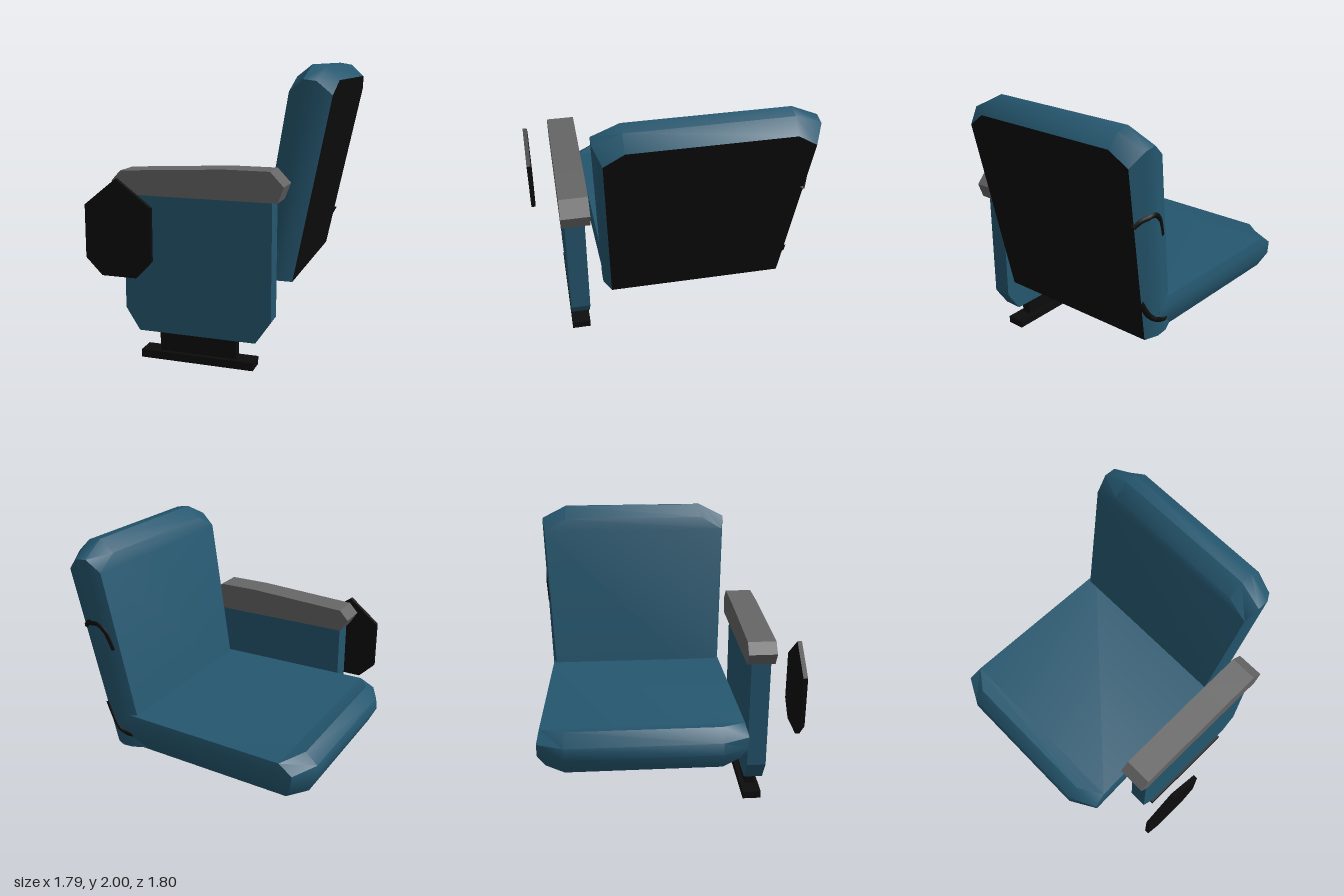
import * as THREE from 'three';
import { toCreasedNormals } from 'three/addons/utils/BufferGeometryUtils.js';

export function createModel() {
  const model = new THREE.Group();
  const paint = (name, color) => {
    const m = new THREE.MeshStandardMaterial({ color });
    m.name = name;
    return m;
  };
  const blue = paint('blue upholstery', 0x25576f);
  const grey = paint('grey armrest', 0x666666);
  const black = paint('black', 0x0c0c0c);

  const add = (name, geometry, material) => {
    const mesh = new THREE.Mesh(geometry, material);
    mesh.name = name;
    model.add(mesh);
    return mesh;
  };

  // Side plate cut from an x/y outline, between two z positions
  const plate = (name, outline, z0, z1, material) => {
    const shape = new THREE.Shape(outline.map(([x, y]) => new THREE.Vector2(x, y)));
    const g = new THREE.ExtrudeGeometry(shape, { depth: z1 - z0, bevelEnabled: false });
    g.translate(0, 0, z0);
    return add(name, g, material);
  };

  const box = (name, [x0, x1], [y0, y1], [z0, z1], material) => {
    const g = new THREE.BoxGeometry(x1 - x0, y1 - y0, z1 - z0);
    g.translate((x0 + x1) / 2, (y0 + y1) / 2, (z0 + z1) / 2);
    return add(name, g, material);
  };

  // Cushion: each half section is three [x, y, half width] points
  // (plain end, chamfer start, chamfered end), mirrored about the seat's centre
  const centreZ = -0.2;
  const ring = (half) => [
    ...half.map(([x, y, w]) => new THREE.Vector3(x, y, centreZ + w)),
    ...half.slice().reverse().map(([x, y, w]) => new THREE.Vector3(x, y, centreZ - w)),
  ];
  const cushion = (name, rings, firstMaterial, lastMaterial) => {
    const pos = [];
    const quad = (...q) => [0, 1, 2, 0, 2, 3].forEach((k) => pos.push(...q[k].toArray()));
    const cap = (r) => {
      quad(r[0], r[1], r[4], r[5]);
      quad(r[1], r[2], r[3], r[4]);
    };
    cap(rings[0]);
    const last = rings[rings.length - 1];
    quad(last[5], last[4], last[1], last[0]);
    quad(last[4], last[3], last[2], last[1]);
    for (let i = 0; i < rings.length - 1; i++) {
      for (let j = 0; j < 6; j++) {
        const k = (j + 1) % 6;
        quad(rings[i][j], rings[i + 1][j], rings[i + 1][k], rings[i][k]);
      }
    }
    const g = new THREE.BufferGeometry();
    g.setAttribute('position', new THREE.Float32BufferAttribute(pos, 3));
    g.addGroup(0, 12, 0);
    g.addGroup(12, 12, 1);
    g.addGroup(24, pos.length / 3 - 24, 2);
    add(name, toCreasedNormals(g, 0.75), [firstMaterial, lastMaterial, blue]);
  };

  // Seat, from the black underside up
  cushion('seatCushion', [
    ring([[0.56, 0.56, 0.6], [-0.74, 0.56, 0.65], [-0.84, 0.56, 0.52]]),
    ring([[0.54, 0.66, 0.65], [-0.79, 0.66, 0.7], [-0.9, 0.68, 0.52]]),
    ring([[0.54, 0.75, 0.66], [-0.8, 0.75, 0.7], [-0.89, 0.76, 0.52]]),
    ring([[0.5, 0.82, 0.65], [-0.7, 0.81, 0.685], [-0.81, 0.84, 0.52]]),
  ], black, blue);

  // Backrest, from the front face to the black rear panel
  const backRings = [
    ring([[0.375, 0.575, 0.62], [0.595, 1.83, 0.68], [0.61, 1.92, 0.52]]),
    ring([[0.46, 0.57, 0.65], [0.69, 1.91, 0.7], [0.71, 2.0, 0.52]]),
    ring([[0.54, 0.565, 0.65], [0.775, 1.9, 0.7], [0.8, 1.985, 0.52]]),
    ring([[0.62, 0.55, 0.6], [0.872, 1.81, 0.65], [0.89, 1.9, 0.52]]),
  ];
  cushion('backrest', backRings, blue, black);

  // Black trim arcs sunk into the backrest's outer side
  const sidePoint = (s, y) => {
    const i = Math.min(2, Math.floor(s));
    const at = (r) => r[5].clone().lerp(r[4], (y - r[5].y) / (r[4].y - r[5].y));
    return at(backRings[i]).lerp(at(backRings[i + 1]), s - i);
  };
  const trims = {
    upperTrim: [[2.97, 1.42], [2.4, 1.46], [1.5, 1.47], [0.9, 1.42], [0.6, 1.3]],
    lowerTrim: [[2.97, 0.86], [2.5, 0.75], [1.8, 0.69], [1.1, 0.67], [0.7, 0.67]],
  };
  for (const [name, pts] of Object.entries(trims)) {
    const flat = new THREE.SplineCurve(pts.map(([s, y]) => new THREE.Vector2(s, y)));
    const path = flat.getPoints(20).map((p) => {
      const v = sidePoint(p.x, p.y);
      v.z += 0.014;
      return v;
    });
    add(name, new THREE.TubeGeometry(new THREE.CatmullRomCurve3(path), 32, 0.023, 8), black);
  }

  // Single side stand with its armrest
  plate('sidePanel', [[-0.48, 1.16], [-0.48, 0.35], [-0.38, 0.195], [0.445, 0.195],
    [0.55, 0.35], [0.55, 1.16]], 0.555, 0.69, blue);
  plate('armrest', [[-0.5, 1.145], [0.59, 1.145], [0.63, 1.25], [0.54, 1.345], [0.24, 1.345],
    [-0.49, 1.305], [-0.555, 1.235]], 0.52, 0.715, grey);
  box('footColumn', [-0.24, 0.305], [0.05, 0.2], [0.59, 0.66], black);
  box('footBase', [-0.37, 0.43], [0, 0.055], [0.555, 0.69], black);

  // Detached seven-sided plate beside the armrest
  plate('sideTablet', [[-0.435, 1.28], [-0.66, 1.1], [-0.66, 0.745], [-0.545, 0.63],
    [-0.305, 0.63], [-0.195, 0.745], [-0.195, 1.1]], 0.872, 0.903, black);

  return model;
}
